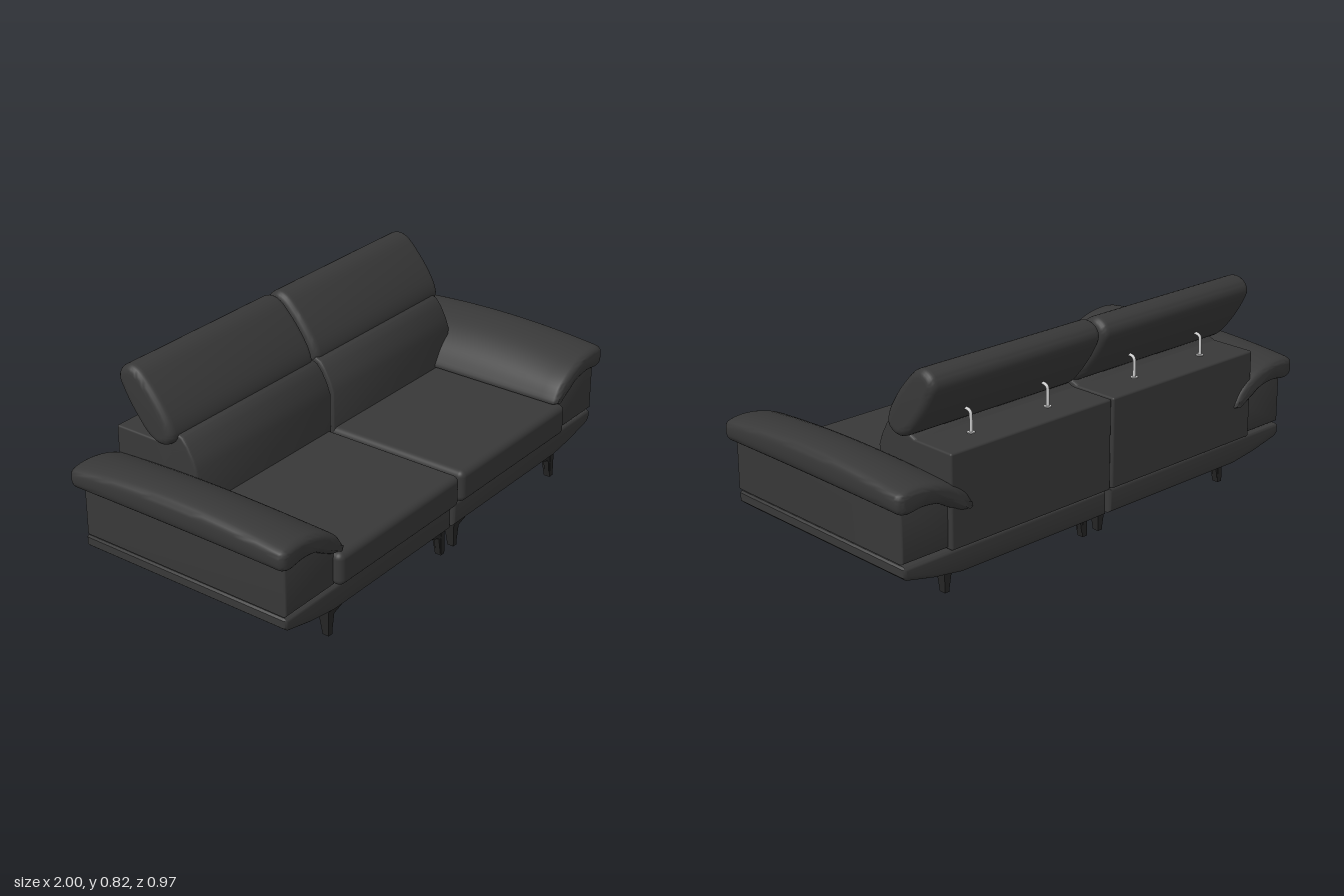
import * as THREE from 'three';
import { toCreasedNormals } from 'three/addons/utils/BufferGeometryUtils.js';
import { RoundedBoxGeometry } from 'three/addons/geometries/RoundedBoxGeometry.js';

const leather = new THREE.MeshStandardMaterial({ color: 0x383838 });
const dark = new THREE.MeshStandardMaterial({ color: 0x242424 });
const metal = new THREE.MeshStandardMaterial({ color: 0xcccccc });

function add(parent, name, geometry, material = leather) {
  const mesh = new THREE.Mesh(geometry, material);
  mesh.name = name;
  parent.add(mesh);
  return mesh;
}

// Rounded block given by its limits on each axis
function block(parent, name, [x0, x1], [y0, y1], [z0, z1], r) {
  const g = new RoundedBoxGeometry(x1 - x0, y1 - y0, z1 - z0, 4, r);
  g.translate((x0 + x1) / 2, (y0 + y1) / 2, (z0 + z1) / 2);
  return add(parent, name, g);
}

// Closed smooth outline through a few points
function smooth(points, n = 56) {
  const v = points.map(([a, b]) => new THREE.Vector3(a, b, 0));
  return new THREE.CatmullRomCurve3(v, true, 'centripetal').getPoints(n).slice(0, n).map((p) => [p.x, p.y]);
}

// Outline in x,y extruded from z0 to z1 with rounded ends
function prismZ(points, z0, z1, bevel, steps = 1) {
  const shape = new THREE.Shape(points.map(([a, b]) => new THREE.Vector2(a, b)));
  const g = new THREE.ExtrudeGeometry(shape, {
    depth: z1 - z0 - 2 * bevel, steps, bevelEnabled: bevel > 0,
    bevelSize: bevel, bevelThickness: bevel, bevelOffset: -bevel, bevelSegments: 5,
  });
  g.translate(0, 0, z0 + bevel);
  return g;
}

// Outline in z,y extruded from x0 to x1
function prismX(points, x0, x1, bevel) {
  return prismZ(points, -x1, -x0, bevel).rotateY(-Math.PI / 2);
}

const creased = (g, angle = 0.6) => toCreasedNormals(g, angle);

// Corner leg: tapered post with two mounting wings
function leg(parent, x, z, dx, dz) {
  const g = new THREE.Group();
  g.name = 'leg';
  const wing = [[-0.013, 0.103], [0.08, 0.103], [0.08, 0.09], [0.03, 0.077], [0.013, 0], [-0.013, 0]];
  const flip = (d) => wing.map(([a, b]) => [a * d, b]);
  add(g, 'legWingAcross', prismZ(flip(dx * 0.8), -0.011, 0.011, 0), dark);
  add(g, 'legWingAlong', prismX(flip(dz), -0.011, 0.011, 0), dark);
  g.position.set(x, 0, z);
  parent.add(g);
}

function half(s) {
  const g = new THREE.Group();
  g.name = s > 0 ? 'leftHalf' : 'rightHalf';
  const side = (a, b) => (s > 0 ? [a, b] : [-b, -a]);
  const mirror = (pts) => pts.map(([x, y]) => [x * s, y]);

  // Base tray with an upswept outer end
  const base = [[0.008, 0.1], [0.7, 0.1], [0.82, 0.117], [0.945, 0.145], [0.962, 0.16], [0.962, 0.19], [0.955, 0.197], [0.008, 0.197]];
  add(g, 'base', creased(prismZ(mirror(base), -0.46, 0.452, 0.015)));

  // Seat cushion
  block(g, 'seatCushion', side(0.006, 0.71), [0.205, 0.332], [-0.2, 0.486], 0.025);

  // Back frame, lower back cushion and headrest
  block(g, 'backFrame', side(0.005, 0.762), [0.2, 0.547], [-0.473, -0.15], 0.008);
  const back = [[-0.3, 0.3], [-0.1, 0.3], [-0.1, 0.48], [-0.115, 0.52], [-0.14, 0.565], [-0.163, 0.592], [-0.19, 0.602], [-0.235, 0.57], [-0.3, 0.545]];
  add(g, 'backCushion', creased(prismX(back, ...side(0.006, 0.762), 0.012)));
  const head = smooth([[-0.181, 0.59], [-0.187, 0.63], [-0.22, 0.69], [-0.28, 0.765], [-0.33, 0.81], [-0.37, 0.82],
    [-0.41, 0.8], [-0.423, 0.765], [-0.4, 0.71], [-0.35, 0.635], [-0.29, 0.57], [-0.24, 0.55], [-0.2, 0.563]]);
  add(g, 'headrest', creased(prismX(head, ...side(0.005, 0.797), 0.03), 0.8));

  // Bent metal headrest posts with round plates
  for (const x of [0.22, 0.58]) {
    const path = new THREE.CatmullRomCurve3([[0.54, -0.37], [0.6, -0.37], [0.62, -0.367], [0.627, -0.355], [0.627, -0.3]]
      .map(([y, z]) => new THREE.Vector3(x * s, y, z)), false, 'centripetal');
    add(g, 'headrestPost', new THREE.TubeGeometry(path, 24, 0.006, 10), metal);
    add(g, 'postPlate', new THREE.CylinderGeometry(0.014, 0.014, 0.004, 20).translate(x * s, 0.548, -0.37), metal);
  }

  // Arm body, its top following the pad
  const arm = [[0.7, 0.205], [0.962, 0.205], [0.962, 0.4], [0.88, 0.41], [0.8, 0.395], [0.74, 0.365], [0.7, 0.34]];
  add(g, 'armBody', creased(prismZ(mirror(arm), -0.452, 0.452, 0.01)));

  // Arm pad draped inwards, its crown falling towards both ends
  const pad = smooth([[0.665, 0.337], [0.68, 0.372], [0.72, 0.425], [0.79, 0.476], [0.87, 0.505], [0.95, 0.508], [0.992, 0.49],
    [1, 0.45], [0.99, 0.405], [0.96, 0.39], [0.89, 0.4], [0.82, 0.387], [0.76, 0.355], [0.71, 0.333]]);
  const padGeo = prismZ(mirror(pad), -0.487, 0.474, 0.028, 20);
  const p = padGeo.attributes.position;
  for (let i = 0; i < p.count; i++) {
    const y = p.getY(i), z = p.getZ(i);
    if (y > 0.39) p.setY(i, 0.39 + (y - 0.39) * (1 - 1.2 * z * z));
  }
  add(g, 'armPad', creased(padGeo, 0.8));

  // Legs, wings pointing under the base
  for (const [z, dz] of [[0.425, -1], [-0.37, 1]]) {
    leg(g, 0.04 * s, z, s, dz);
    leg(g, 0.708 * s, z, -s, dz);
  }
  return g;
}

export function createModel() {
  const model = new THREE.Group();
  model.name = 'sofa';
  model.add(half(1), half(-1));
  return model;
}
